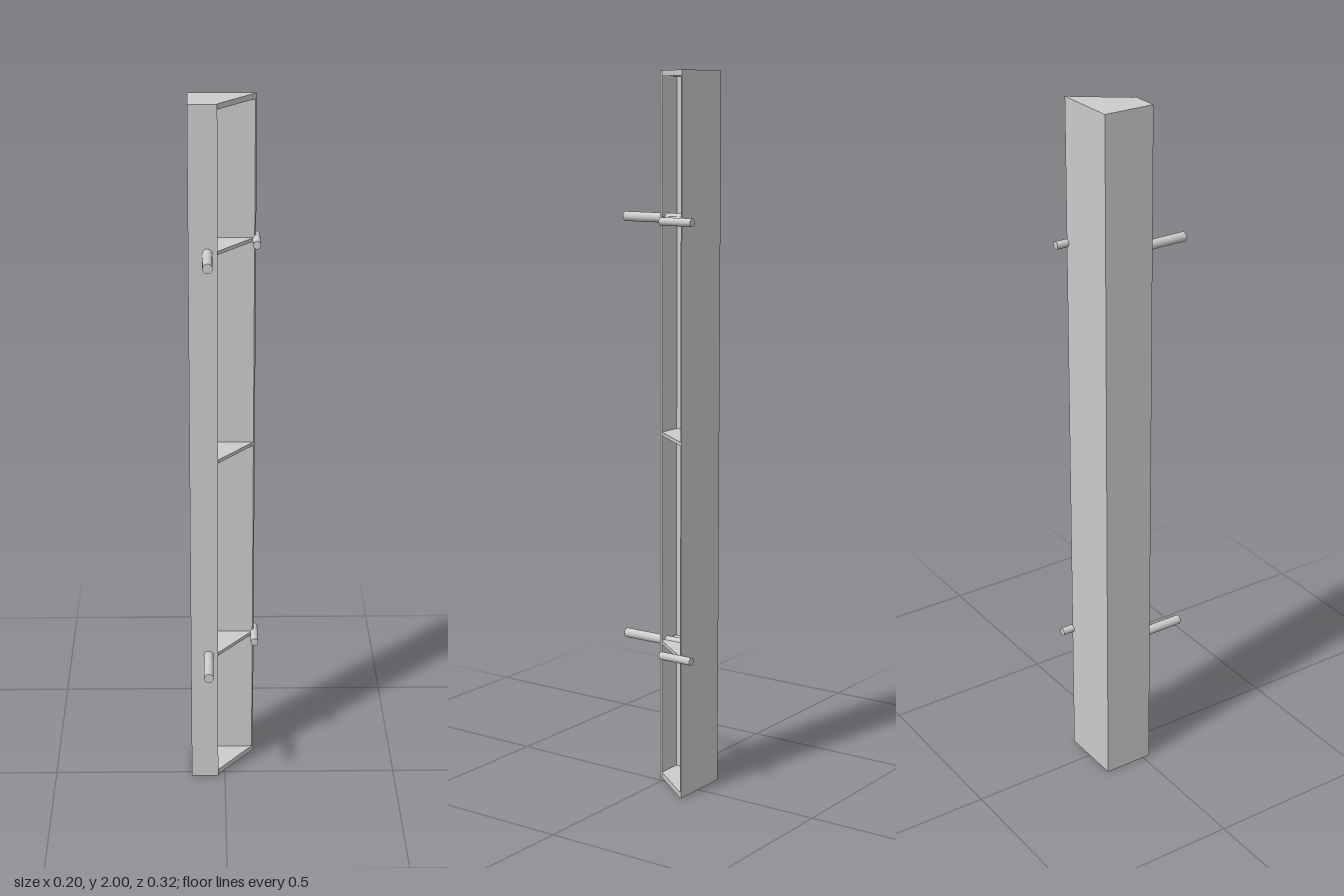
import * as THREE from 'three';

const material = new THREE.MeshStandardMaterial({ color: 0xcccccc, side: THREE.DoubleSide });

// Upright prism from a plan outline of [x, z] corners
function prism(name, corners, y0, height) {
  const shape = new THREE.Shape(corners.map(([x, z]) => new THREE.Vector2(x, -z)));
  const geometry = new THREE.ExtrudeGeometry(shape, { depth: height, bevelEnabled: false });
  geometry.rotateX(-Math.PI / 2);
  geometry.translate(0, y0, 0);
  const mesh = new THREE.Mesh(geometry, material);
  mesh.name = name;
  return mesh;
}

// Round peg running along z
function peg(name, x, y, z0, z1, radius) {
  const geometry = new THREE.CylinderGeometry(radius, radius, z1 - z0, 24);
  geometry.rotateX(Math.PI / 2);
  const mesh = new THREE.Mesh(geometry, material);
  mesh.position.set(x, y, (z0 + z1) / 2);
  mesh.name = name;
  return mesh;
}

export function createModel() {
  const model = new THREE.Group();
  model.name = 'cornerShelfColumn';

  // Thin wall around the back, side and front, open on the slanted face
  model.add(prism('shell', [
    [0.086, -0.125], [-0.098, -0.125], [-0.098, 0.021], [-0.02, 0.021],
    [-0.02, 0.015], [-0.092, 0.015], [-0.092, -0.119], [0.082, -0.119],
  ], 0, 2));

  // End caps and shelves fill the inside of the shell
  const inside = [[-0.092, -0.119], [-0.092, 0.015], [-0.02, 0.015], [0.082, -0.119]];
  const plates = [
    ['bottomCap', 0, 0.016], ['lowerShelf', 0.398, 0.01], ['middleShelf', 1, 0.01],
    ['upperShelf', 1.598, 0.01], ['topCap', 1.985, 0.015],
  ];
  for (const [name, y, height] of plates) model.add(prism(name, inside, y, height));

  // A long front peg and a short side peg at two heights
  for (const [level, y] of [['lower', 0.403], ['upper', 1.603]]) {
    model.add(peg(level + 'FrontPeg', -0.047, y, -0.056, 0.158, 0.0135));
    model.add(peg(level + 'SidePeg', 0.087, y, -0.16, -0.058, 0.011));
  }
  return model;
}
